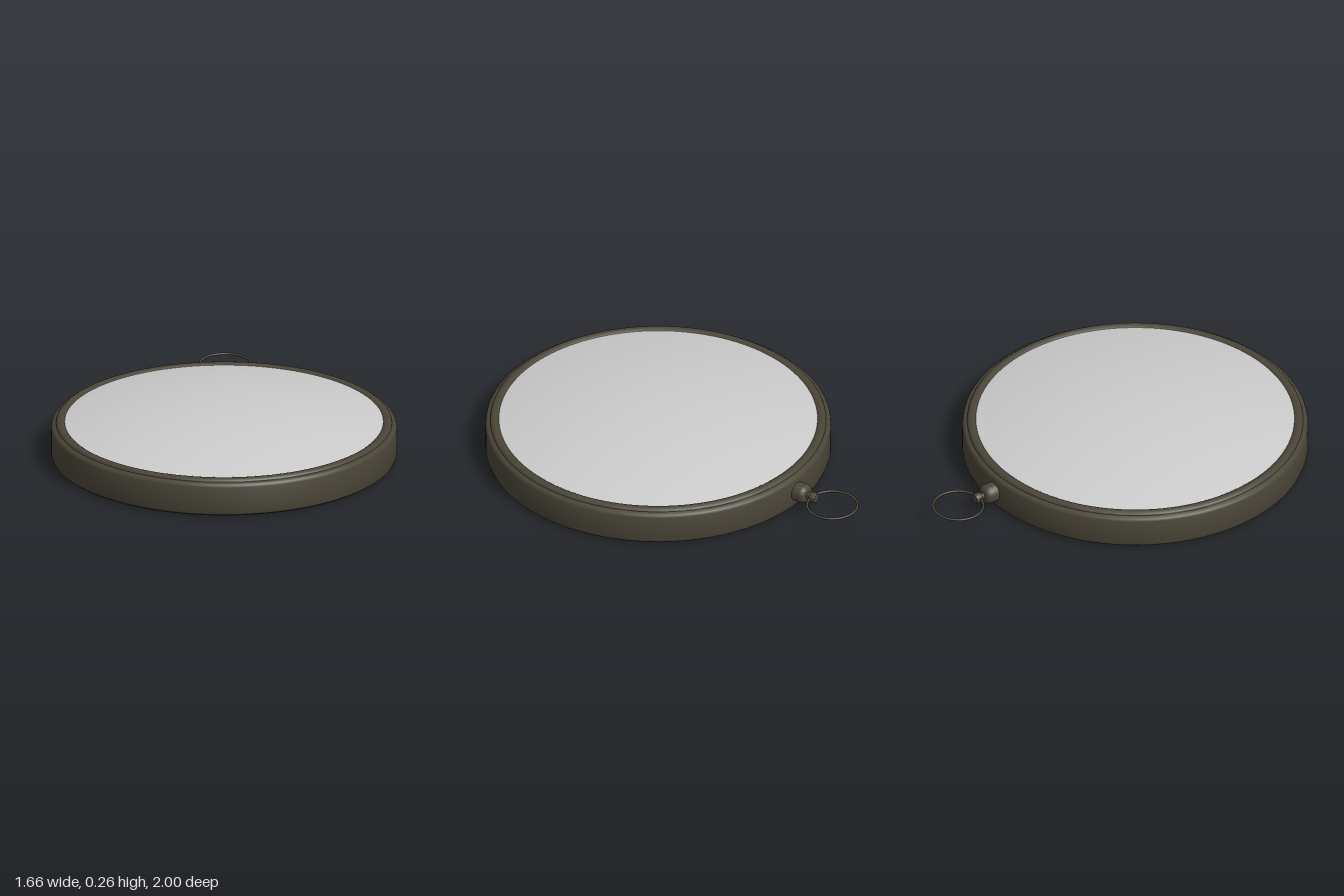
import * as THREE from 'three';
import { toCreasedNormals } from 'three/addons/utils/BufferGeometryUtils.js';

const CASE_Z = 0.165; // centre of the round case
const AXIS_Y = 0.087; // height of the crown and ring

const metal = new THREE.MeshStandardMaterial({ color: 0x4a4538 });
const grey = new THREE.MeshStandardMaterial({ color: 0xcccccc });

// Turned part from [radius, height] pairs, listed from bottom to top
function turned(name, profile, segments, material, crease = 0.6) {
  const points = profile.map(([r, h]) => new THREE.Vector2(r, h));
  const geometry = toCreasedNormals(new THREE.LatheGeometry(points, segments), crease);
  const mesh = new THREE.Mesh(geometry, material);
  mesh.name = name;
  return mesh;
}

export function createModel() {
  const model = new THREE.Group();
  model.name = 'pocketMirror';

  // Case: flat back, rounded edges, a fine step and a raised bezel lip
  const body = turned('case', [
    [0, 0], [0.795, 0], [0.813, 0.004], [0.825, 0.013], [0.83, 0.028],
    [0.83, 0.152], [0.826, 0.163], [0.817, 0.17], [0.806, 0.172],
    [0.804, 0.178], [0.797, 0.184], [0.785, 0.186], [0.772, 0.184],
    [0.764, 0.178], [0.762, 0.165], [0, 0.165],
  ], 128, metal);
  body.position.z = CASE_Z;
  model.add(body);

  // Domed glass: a shallow spherical cap
  const rim = 0.765, base = 0.178, rise = 0.081;
  const radius = (rim * rim + rise * rise) / (2 * rise);
  const dome = [];
  for (let i = 0; i <= 20; i++) {
    const a = Math.asin(rim / radius) * (1 - i / 20);
    dome.push([radius * Math.sin(a), base + rise - radius * (1 - Math.cos(a))]);
  }
  const glass = turned('glass', dome, 128, grey);
  glass.position.z = CASE_Z;
  model.add(glass);

  // Crown and ring post, turned along -z
  const crown = new THREE.Group();
  crown.name = 'crown';
  crown.position.set(0, AXIS_Y, -0.645);
  crown.rotation.x = -Math.PI / 2;
  crown.add(
    turned('crownKnob', [
      [0, 0], [0.048, 0], [0.048, 0.06], [0.045, 0.072],
      [0.038, 0.08], [0.026, 0.084], [0, 0.084],
    ], 32, metal),
    turned('ringPost', [
      [0.017, 0.08], [0.017, 0.098], [0.024, 0.102],
      [0.025, 0.128], [0.022, 0.133], [0, 0.133],
    ], 24, metal),
  );
  model.add(crown);

  // Hanging ring, lying flat
  const ring = new THREE.Mesh(new THREE.TorusGeometry(0.121, 0.006, 12, 80), metal);
  ring.name = 'hangingRing';
  ring.rotation.x = Math.PI / 2;
  ring.position.set(0, AXIS_Y, -0.873);
  model.add(ring);

  return model;
}
